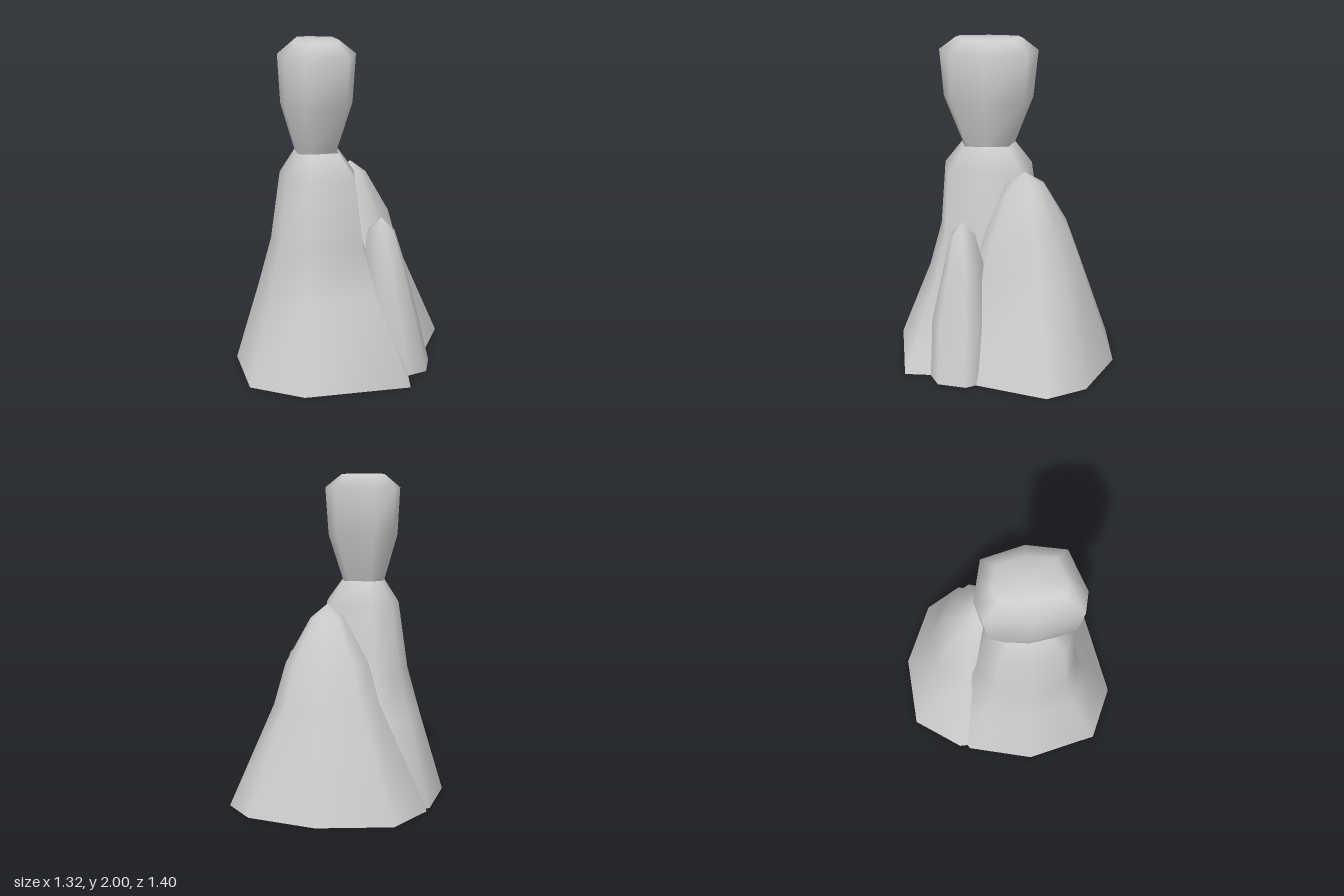
import * as THREE from 'three';

const stone = new THREE.MeshStandardMaterial({ color: 0xcccccc, side: THREE.DoubleSide });
stone.name = 'pale grey stone';

// Loft a plan outline through rings [y, xMin, xMax, zMin, zMax], bottom to top,
// closing at the tip [x, y, z] if one is given.
function loft(name, plan, rings, tip) {
  const n = plan.length;
  const positions = [];
  const index = [];
  for (const [y, x0, x1, z0, z1] of rings) {
    for (const [px, pz] of plan) {
      positions.push((x0 + x1) / 2 + (px * (x1 - x0)) / 2, y, (z0 + z1) / 2 + (pz * (z1 - z0)) / 2);
    }
  }
  for (let r = 0; r < rings.length - 1; r++) {
    for (let j = 0; j < n; j++) {
      const a = r * n + j;
      const b = r * n + ((j + 1) % n);
      index.push(a, a + n, b, b, a + n, b + n);
    }
  }
  if (tip) {
    const top = (rings.length - 1) * n;
    positions.push(...tip);
    for (let j = 0; j < n; j++) index.push(top + j, rings.length * n, top + ((j + 1) % n));
  }
  const geometry = new THREE.BufferGeometry();
  geometry.setAttribute('position', new THREE.Float32BufferAttribute(positions, 3));
  geometry.setIndex(index);
  geometry.computeVertexNormals();
  const mesh = new THREE.Mesh(geometry, stone);
  mesh.name = name;
  return mesh;
}

export function createModel() {
  const group = new THREE.Group();
  group.name = 'rockFormation';

  // Irregular outlines, running from +x towards +z
  const pillarPlan = [[1, 0], [0.98, 0.82], [-0.2, 1], [-0.81, 0.75], [-1, 0], [-0.8, -0.69], [-0.25, -1], [0.9, -0.8]];
  const capPlan = [[1, 0], [0.78, 0.74], [-0.3, 1], [-0.83, 0.9], [-1, 0], [-0.83, -0.87], [-0.3, -1], [0.74, -0.81]];
  const hillPlan = [[1, -0.28], [0.68, 0.72], [0.05, 1], [-0.66, 0.8], [-1, 0], [-1, -0.44], [-0.66, -0.95], [0.1, -1], [0.77, -0.69]];
  const spirePlan = [[1, -0.2], [0.83, 0.7], [0.3, 1], [-0.3, 0.95], [-1, 0.3], [-0.8, -0.65], [-0.1, -1], [0.8, -0.6]];

  // Tall pillar, open underneath
  group.add(loft('pillar', pillarPlan, [
    [0, -0.66, 0.405, -0.5, 0.7],
    [0.5, -0.51, 0.21, -0.3, 0.5],
    [0.79, -0.43, 0.13, -0.22, 0.42],
    [1.21, -0.37, 0.08, -0.165, 0.385],
    [1.35, -0.28, -0.02, -0.06, 0.275],
  ]));

  // Balanced cap on the narrow neck
  group.add(loft('capRock', capPlan, [
    [1.35, -0.28, -0.02, -0.06, 0.275],
    [1.63, -0.36, 0.07, -0.17, 0.39],
    [1.92, -0.375, 0.09, -0.2, 0.415],
    [2, -0.28, -0.01, -0.1, 0.31],
  ], [-0.145, 2, 0.105]));

  // Broad hill behind
  group.add(loft('backHill', hillPlan, [
    [0, -0.53, 0.66, -0.7, 0.44],
    [0.62, -0.25, 0.39, -0.49, 0.21],
    [0.87, -0.18, 0.32, -0.4, 0.12],
    [1.14, -0.03, 0.17, -0.25, -0.01],
  ], [0.07, 1.22, -0.13]));

  // Small leaning spire at the side
  group.add(loft('sideSpire', spirePlan, [
    [0, 0.13, 0.55, 0.05, 0.43],
    [0.35, 0.13, 0.465, 0.06, 0.42],
    [0.68, 0.13, 0.38, 0.11, 0.35],
    [0.87, 0.155, 0.32, 0.165, 0.31],
  ], [0.24, 0.95, 0.24]));

  return group;
}
